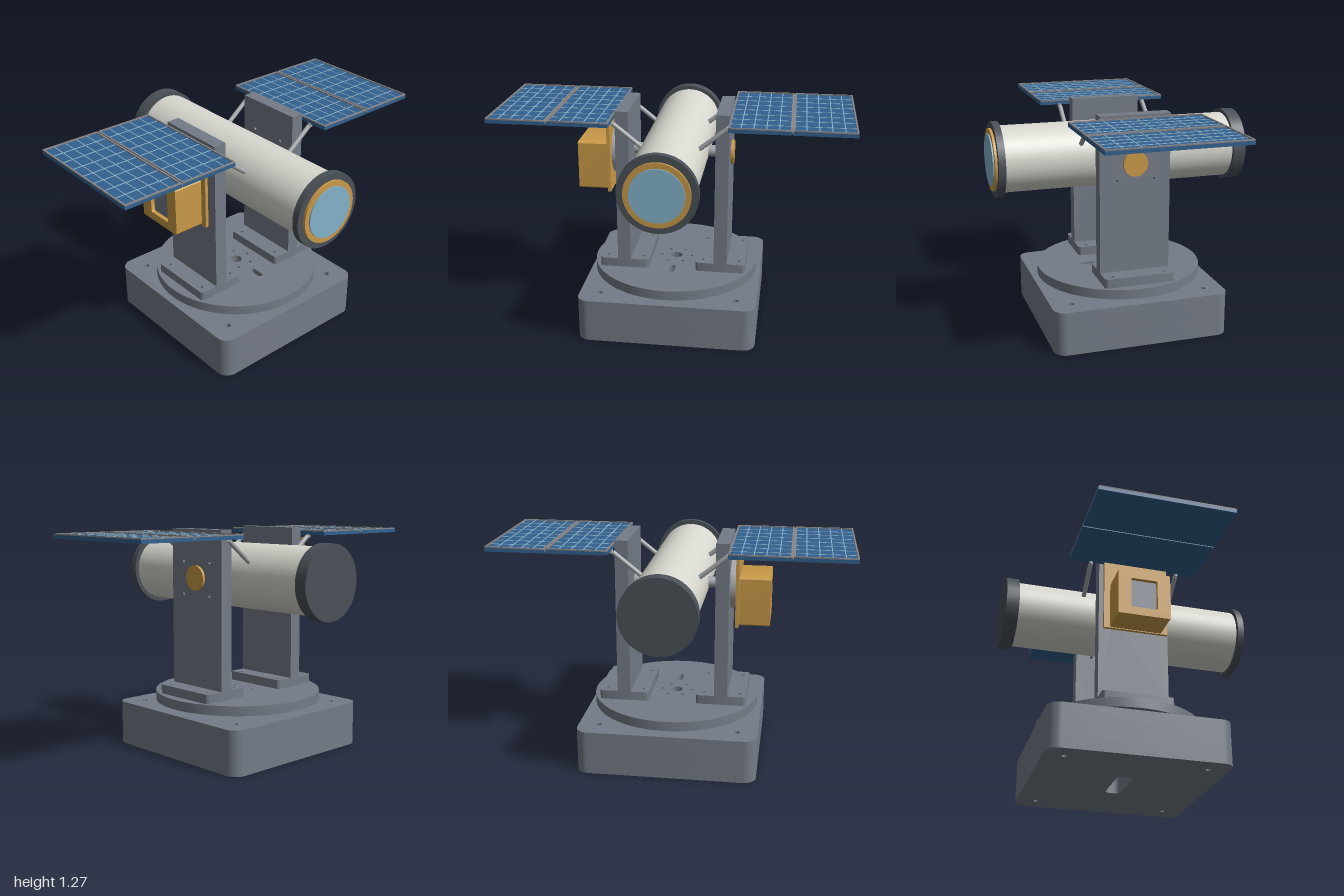
import * as THREE from 'three';
import { toCreasedNormals } from 'three/addons/utils/BufferGeometryUtils.js';

const paint = (name, color) => {
  const m = new THREE.MeshStandardMaterial({ color });
  m.name = name;
  return m;
};

export function createModel() {
  const body = paint('slate grey', 0x757c87);
  const dark = paint('charcoal', 0x4a5158);
  const white = paint('warm white', 0xd8d8d0);
  const gold = paint('gold', 0xca9a48);
  const glass = paint('lens blue', 0x84b4cb);
  const steel = paint('steel', 0xa4a8ab);
  const cell = paint('solar blue', 0x32618f);
  const line = paint('grid line', 0x8fb4cc);
  const frame = paint('frame grey', 0x88868a);

  const model = new THREE.Group();
  model.name = 'trackingTelescope';
  const mount = new THREE.Group(); // everything centred on the turntable axis
  mount.name = 'mount';
  mount.position.z = -0.02;
  model.add(mount);

  const add = (parent, name, geo, mat, x = 0, y = 0, z = 0) => {
    const m = new THREE.Mesh(geo, mat);
    m.name = name;
    m.position.set(x, y, z);
    parent.add(m);
    return m;
  };
  const box = (p, name, mat, w, h, d, x, y, z) => add(p, name, new THREE.BoxGeometry(w, h, d), mat, x, y, z);
  const cyl = (r, h, seg = 64) => new THREE.CylinderGeometry(r, r, h, seg);
  const hole = (x, y, r) => new THREE.Path().absarc(x, y, r, 0, Math.PI * 2, true);
  const circle = r => new THREE.Shape().absarc(0, 0, r, 0, Math.PI * 2, false);

  // Rounded rectangle outline, used for both plates and slots
  const rounded = (w, h, r, cx = 0, cy = 0, S = THREE.Shape) => {
    const s = new S(), x = w / 2 - r, y = h / 2 - r, q = Math.PI / 2;
    s.absarc(cx + x, cy + y, r, 0, q, false);
    s.absarc(cx - x, cy + y, r, q, 2 * q, false);
    s.absarc(cx - x, cy - y, r, 2 * q, 3 * q, false);
    s.absarc(cx + x, cy - y, r, 3 * q, 4 * q, false);
    s.closePath();
    return s;
  };
  const extrude = (shape, depth, holes = [], seg = 12) => {
    shape.holes.push(...holes);
    return toCreasedNormals(new THREE.ExtrudeGeometry(shape, { depth, bevelEnabled: false, curveSegments: seg }), 0.6);
  };
  const flat = (...a) => extrude(...a).rotateX(-Math.PI / 2); // grows up y
  const side = (...a) => extrude(...a).rotateY(Math.PI / 2); // grows along +x
  const corners = (dx, dy, r, cx = 0, cy = 0) =>
    [[1, 1], [-1, 1], [-1, -1], [1, -1]].map(([a, b]) => hole(cx + a * dx, cy + b * dy, r));

  // Base block with through holes and a cable slot underneath
  const slot = rounded(0.3, 0.09, 0.03, -0.02, 0, THREE.Path);
  add(mount, 'baseLower', flat(rounded(1.01, 1.01, 0.07), 0.1, [...corners(0.39, 0.39, 0.016), slot]), body);
  add(mount, 'baseUpper', flat(rounded(1.01, 1.01, 0.07), 0.15, corners(0.39, 0.39, 0.016)), body, 0, 0.1);

  // Bearing and turntable
  add(mount, 'bearing', cyl(0.267, 0.03), steel, 0, 0.262);
  const tableHoles = [hole(0, 0, 0.035), rounded(0.03, 0.09, 0.014, 0, -0.19, THREE.Path)];
  for (let i = 0; i < 6; i++) {
    const a = (i / 6) * Math.PI * 2;
    tableHoles.push(hole(0.09 * Math.cos(a), 0.09 * Math.sin(a), 0.01));
  }
  add(mount, 'turntable', flat(circle(0.48), 0.055, tableHoles, 48), body, 0, 0.275);

  // Fork arms, feet and trunnions
  for (const s of [1, -1]) {
    const arm = new THREE.Group();
    arm.name = s > 0 ? 'leftArm' : 'rightArm';
    mount.add(arm);
    add(arm, 'foot', flat(rounded(0.285, 0.405, 0.02), 0.052, corners(0.105, 0.15, 0.01)), body, s * 0.28, 0.33);
    const post = new THREE.Shape([[-0.2025, 0.38], [0.2025, 0.38], [0.2025, 1.27], [-0.2025, 1.27]]
      .map(p => new THREE.Vector2(...p)));
    add(arm, 'post', side(post, 0.075, corners(0.107, 0.092, 0.009, 0, 0.998)), body, s * 0.28 - 0.0375);
    add(arm, 'trunnion', cyl(0.032, 0.1, 32).rotateZ(Math.PI / 2), steel, s * 0.21, 1);
  }
  add(mount, 'hubCap', cyl(0.07, 0.016, 48).rotateZ(Math.PI / 2), gold, 0.325, 1);

  // Drive unit: round spacer, flange and open-faced housing
  const drive = new THREE.Group();
  drive.name = 'driveUnit';
  mount.add(drive);
  add(drive, 'spacer', cyl(0.14, 0.036).rotateZ(Math.PI / 2), steel, -0.335, 1);
  box(drive, 'flange', gold, 0.018, 0.42, 0.37, -0.361, 1, 0);
  add(drive, 'housing', side(rounded(0.3, 0.275, 0.01), 0.175, [rounded(0.15, 0.18, 0.008, 0, 0, THREE.Path)]),
    gold, -0.543, 0.932);
  box(drive, 'housingPanel', body, 0.01, 0.19, 0.16, -0.515, 0.932, 0);

  // Telescope, built along z
  const scope = new THREE.Group();
  scope.name = 'telescope';
  scope.position.y = 1;
  model.add(scope);
  const ring = (name, mat, r, z0, z1) =>
    add(scope, name, cyl(r, z1 - z0, 72).rotateX(Math.PI / 2), mat, 0, 0, (z0 + z1) / 2);
  ring('tube', white, 0.187, -0.66, 0.675);
  ring('rearCap', dark, 0.207, -0.73, -0.657);
  ring('frontCollar', dark, 0.212, 0.67, 0.709);
  ring('lensRing', gold, 0.175, 0.7, 0.723);
  ring('lens', glass, 0.145, 0.715, 0.73);

  // Solar wings with struts
  const y0 = 1.228, depth = 0.755, zc = -0.022, pw = 0.334, cols = 5, rows = 8;
  for (const s of [1, -1]) {
    const wing = new THREE.Group();
    wing.name = s > 0 ? 'leftWing' : 'rightWing';
    model.add(wing);
    for (const px of [0.488, 0.829]) {
      const x = s * px;
      box(wing, 'panel', cell, pw, 0.02, depth, x, y0 + 0.01, zc);
      const rim = rounded(pw, depth, 0.004);
      add(wing, 'panelFrame', flat(rim, 0.007, [rounded(pw - 0.018, depth - 0.018, 0.002, 0, 0, THREE.Path)], 2),
        frame, x, y0 + 0.02, zc);
      for (let i = 1; i < cols; i++)
        box(wing, 'cellLine', line, 0.005, 0.003, depth - 0.018, x + (i / cols - 0.5) * pw, y0 + 0.021, zc);
      for (let j = 1; j < rows; j++)
        box(wing, 'cellLine', line, pw - 0.018, 0.0026, 0.005, x, y0 + 0.021, zc + (j / rows - 0.5) * depth);
    }
    box(wing, 'hinge', frame, 0.008, 0.012, depth, s * 0.6585, y0 + 0.014, zc);
    for (const z of [0.24, -0.275]) {
      const a = new THREE.Vector3(s * 0.155, 1.09, z), b = new THREE.Vector3(s * 0.315, 1.218, z);
      const strut = add(wing, 'strut', cyl(0.013, a.distanceTo(b), 20), steel);
      strut.position.copy(a).lerp(b, 0.5);
      strut.quaternion.setFromUnitVectors(new THREE.Vector3(0, 1, 0), b.clone().sub(a).normalize());
      add(wing, 'strutTip', cyl(0.012, 0.02, 20), steel, s * 0.325, y0 - 0.006, z);
    }
  }
  return model;
}
